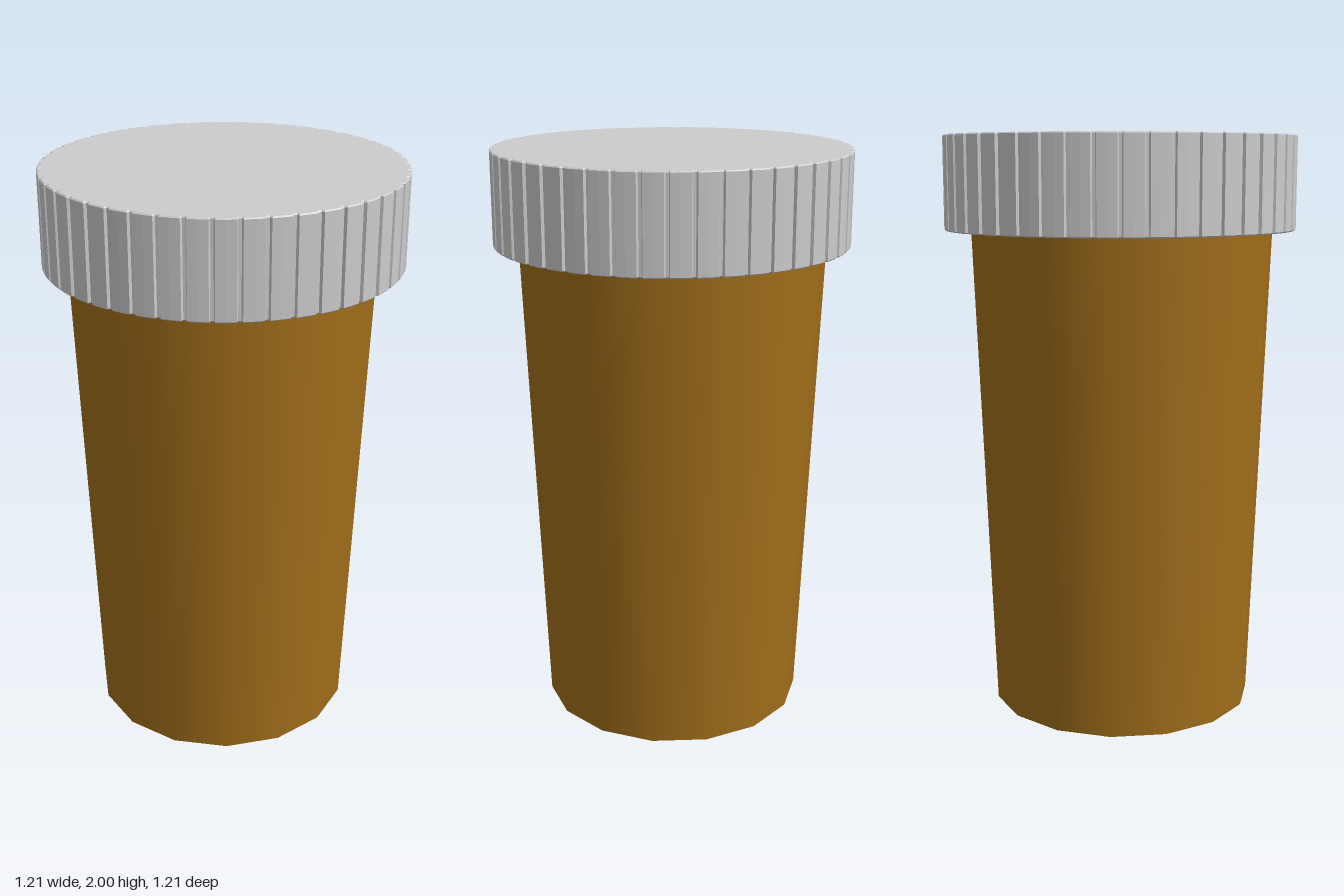
import * as THREE from 'three';

const CAP_BOTTOM = 1.68, TOP = 2;

// Outline of the cap: a circle cut by narrow shallow grip grooves
function gripOutline(radius, depth, count) {
  const points = [];
  const step = (Math.PI * 2) / count;
  const polar = (r, a) => points.push(new THREE.Vector2(r * Math.cos(a), r * Math.sin(a)));
  for (let i = 0; i < count; i++) {
    const a = (i + 0.3) * step;
    polar(radius, a);
    polar(radius - depth, a + step * 0.05);
    polar(radius - depth, a + step * 0.17);
    polar(radius, a + step * 0.22);
    polar(radius, a + step * 0.61);
  }
  return new THREE.Shape(points);
}

export function createModel() {
  const model = new THREE.Group();
  model.name = 'pillBottle';

  const amber = new THREE.MeshStandardMaterial({ color: 0xa16e1a });
  const grey = new THREE.MeshStandardMaterial({ color: 0xcccccc });

  // Tapered fifteen-sided body, reaching slightly into the cap
  const height = CAP_BOTTOM + 0.02;
  const body = new THREE.Mesh(
    new THREE.CylinderGeometry(0.526, 0.46, height, 15, 1, false, -Math.PI / 60), amber);
  body.name = 'body';
  body.position.set(-0.008, height / 2, 0.003);
  model.add(body);

  // Screw cap with grip grooves and a tiny bevel
  const bevel = 0.004;
  const capGeometry = new THREE.ExtrudeGeometry(gripOutline(0.607, 0.01, 46), {
    depth: TOP - CAP_BOTTOM - 2 * bevel,
    bevelEnabled: true, bevelThickness: bevel, bevelSize: bevel, bevelOffset: -bevel, bevelSegments: 1,
  });
  capGeometry.rotateX(-Math.PI / 2);
  const cap = new THREE.Mesh(capGeometry, grey);
  cap.name = 'cap';
  cap.position.y = CAP_BOTTOM + bevel;
  model.add(cap);

  return model;
}
